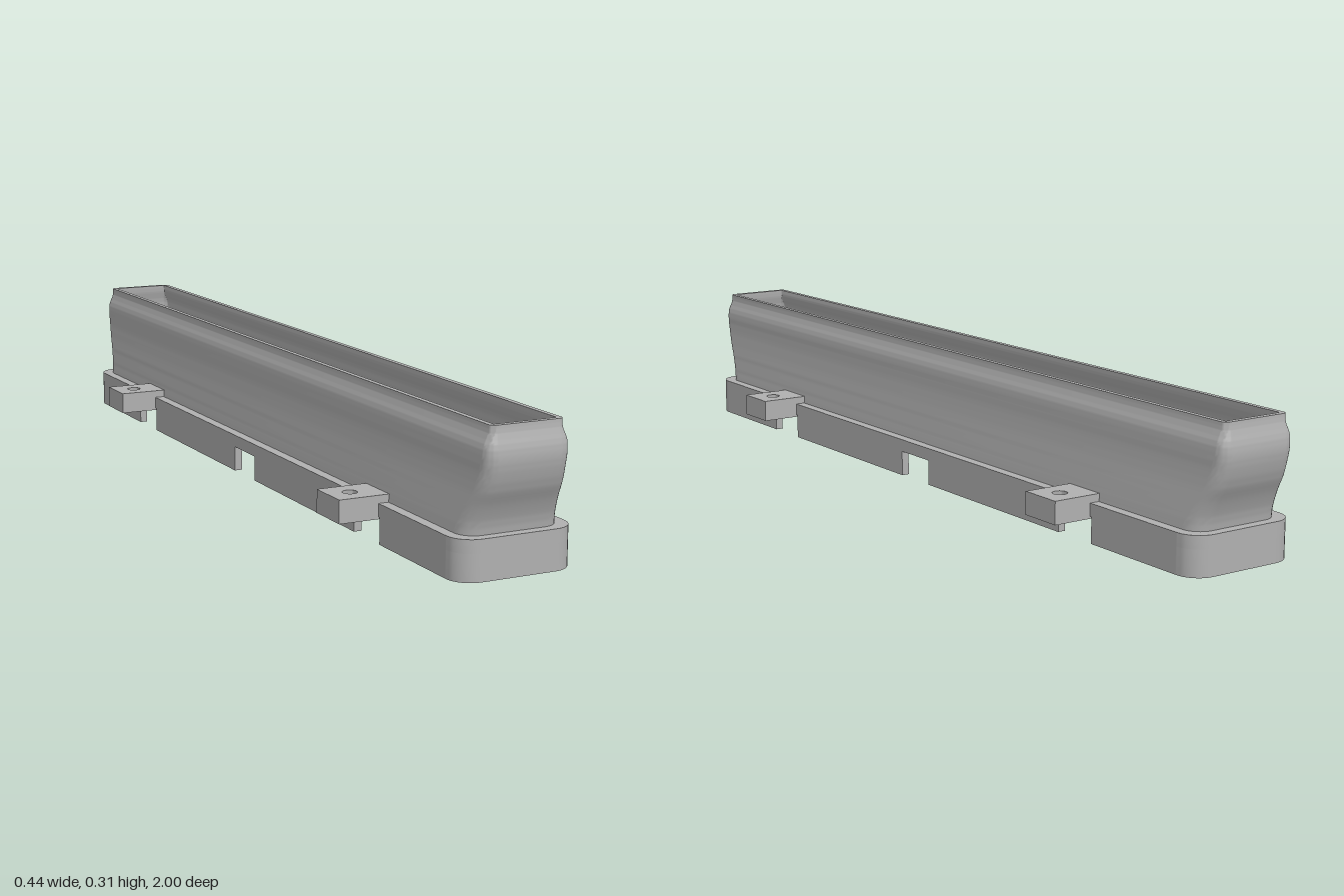
import * as THREE from 'three';
import { toCreasedNormals } from 'three/addons/utils/BufferGeometryUtils.js';

const SKIRT_TOP = 0.057, BASE_TOP = 0.085;

// Rounded rectangle outline, with extra points keeping the flat sides flat
function outline(hx, hz, r, segs = 8) {
  const pts = [], e = 0.003;
  const corners = [[1, 1], [-1, 1], [-1, -1], [1, -1]];
  corners.forEach(([sx, sz], k) => {
    const cx = sx * (hx - r), cz = sz * (hz - r), a0 = k * Math.PI / 2;
    const at = (a, d) => new THREE.Vector2(cx + r * Math.cos(a) - d * Math.sin(a), cz + r * Math.sin(a) + d * Math.cos(a));
    pts.push(at(a0, -e));
    for (let i = 0; i <= segs; i++) pts.push(at(a0 + (i / segs) * Math.PI / 2, 0));
    pts.push(at(a0 + Math.PI / 2, e));
  });
  return pts;
}

// Skin a stack of rounded rectangles given as [y, halfX, halfZ, radius]
function loft(sections) {
  const pos = [], idx = [];
  const rows = sections.map(([y, hx, hz, r]) => outline(hx, hz, r).map(p => [p.x, y, p.y]));
  const n = rows[0].length;
  rows.forEach(row => row.forEach(p => pos.push(...p)));
  for (let i = 0; i < rows.length - 1; i++) {
    for (let j = 0; j < n; j++) {
      const k = (j + 1) % n, a = i * n + j, b = i * n + k, c = a + n, d = b + n;
      idx.push(a, c, b, b, c, d);
    }
  }
  const g = new THREE.BufferGeometry();
  g.setAttribute('position', new THREE.Float32BufferAttribute(pos, 3));
  g.setIndex(idx);
  return toCreasedNormals(g, 0.6);
}

// Smooth a short list of sections along the height
function smooth(points, count) {
  const yx = new THREE.SplineCurve(points.map(p => new THREE.Vector2(p[0], p[1])));
  const yz = new THREE.SplineCurve(points.map(p => new THREE.Vector2(p[0], p[2])));
  const yr = new THREE.SplineCurve(points.map(p => new THREE.Vector2(p[0], p[3])));
  return Array.from({ length: count + 1 }, (_, i) => {
    const t = i / count;
    return [yx.getPoint(t).x, yx.getPoint(t).y, yz.getPoint(t).y, yr.getPoint(t).y];
  });
}

// Extrude a plan shape upward from y0 to y1
function slab(shape, y0, y1) {
  const g = new THREE.ExtrudeGeometry(shape, { depth: y1 - y0, bevelEnabled: false, curveSegments: 16 });
  g.rotateX(-Math.PI / 2).translate(0, y0, 0);
  return toCreasedNormals(g, 0.6);
}

export function createModel() {
  const group = new THREE.Group();
  const grey = new THREE.MeshStandardMaterial({ color: 0xb0b0b0 });
  grey.name = 'grey plastic';
  const add = (name, geometry) => {
    const m = new THREE.Mesh(geometry, grey);
    m.name = name;
    group.add(m);
    return m;
  };

  // Hollow duct: outer skin up, over the rim, inner skin down
  const outer = [
    [BASE_TOP, 0.11, 0.948, 0.04], [0.11, 0.107, 0.953, 0.038], [0.145, 0.102, 0.967, 0.034],
    [0.18, 0.097, 0.985, 0.03], [0.215, 0.094, 0.996, 0.027], [0.24, 0.0935, 1.0, 0.025],
    [0.262, 0.092, 0.999, 0.022], [0.275, 0.088, 0.996, 0.019], [0.285, 0.0835, 0.993, 0.016],
    [0.295, 0.0815, 0.991, 0.014], [0.307, 0.081, 0.99, 0.013],
  ];
  const inner = outer.map(([y, x, z, r], i) =>
    [y, x - 0.0115, z - 0.016 + 0.004 * i / 10, Math.max(r - 0.011, 0.003)]).reverse();
  add('duct', loft([...smooth(outer, 40), ...smooth(inner, 40)]));

  // Base flange with the duct opening
  const flange = new THREE.Shape(outline(0.133, 0.97, 0.05));
  flange.holes.push(new THREE.Path(outline(0.0985, 0.932, 0.029)));
  add('baseFlange', slab(flange, SKIRT_TOP, BASE_TOP));

  // Skirt: rounded ends and straight side walls, leaving notches between
  const wall = 0.018;
  const notch = 0.055, tabZ = 0.6;
  const endCut = tabZ + notch;
  for (const s of [1, -1]) {
    const half = (hx, hz, r) => outline(hx, hz, r).filter(p => p.y > endCut);
    const out = half(0.133, 0.97, 0.05), inn = half(0.133 - wall, 0.97 - wall, 0.032).reverse();
    const loop = [
      new THREE.Vector2(0.133, endCut), ...out, new THREE.Vector2(-0.133, endCut),
      new THREE.Vector2(-0.133 + wall, endCut), ...inn, new THREE.Vector2(0.133 - wall, endCut),
    ];
    const end = slab(new THREE.Shape(loop), 0, SKIRT_TOP);
    if (s > 0) end.rotateY(Math.PI);
    add(s > 0 ? 'frontSkirt' : 'backSkirt', end);

    const length = tabZ - 2 * notch;
    for (const sz of [1, -1]) {
      const side = new THREE.BoxGeometry(wall, SKIRT_TOP, length);
      add(s > 0 ? 'leftSkirt' : 'rightSkirt', side)
        .position.set(s * (0.133 - wall / 2), SKIRT_TOP / 2, sz * tabZ / 2);
    }
  }

  // Mounting tabs with screw holes
  const tab = new THREE.Shape();
  tab.moveTo(0.103, -0.05).lineTo(0.222, -0.05).lineTo(0.222, 0.05).lineTo(0.103, 0.05).closePath();
  tab.holes.push(new THREE.Path().absarc(0.172, 0, 0.016, 0, Math.PI * 2, true));
  const tabGeometry = slab(tab, 0.052, 0.102);
  for (const sx of [1, -1]) {
    for (const sz of [1, -1]) {
      const m = add(sx > 0 ? 'leftTab' : 'rightTab', tabGeometry);
      m.rotation.y = sx > 0 ? 0 : Math.PI;
      m.position.z = sz * tabZ;
    }
  }
  return group;
}
